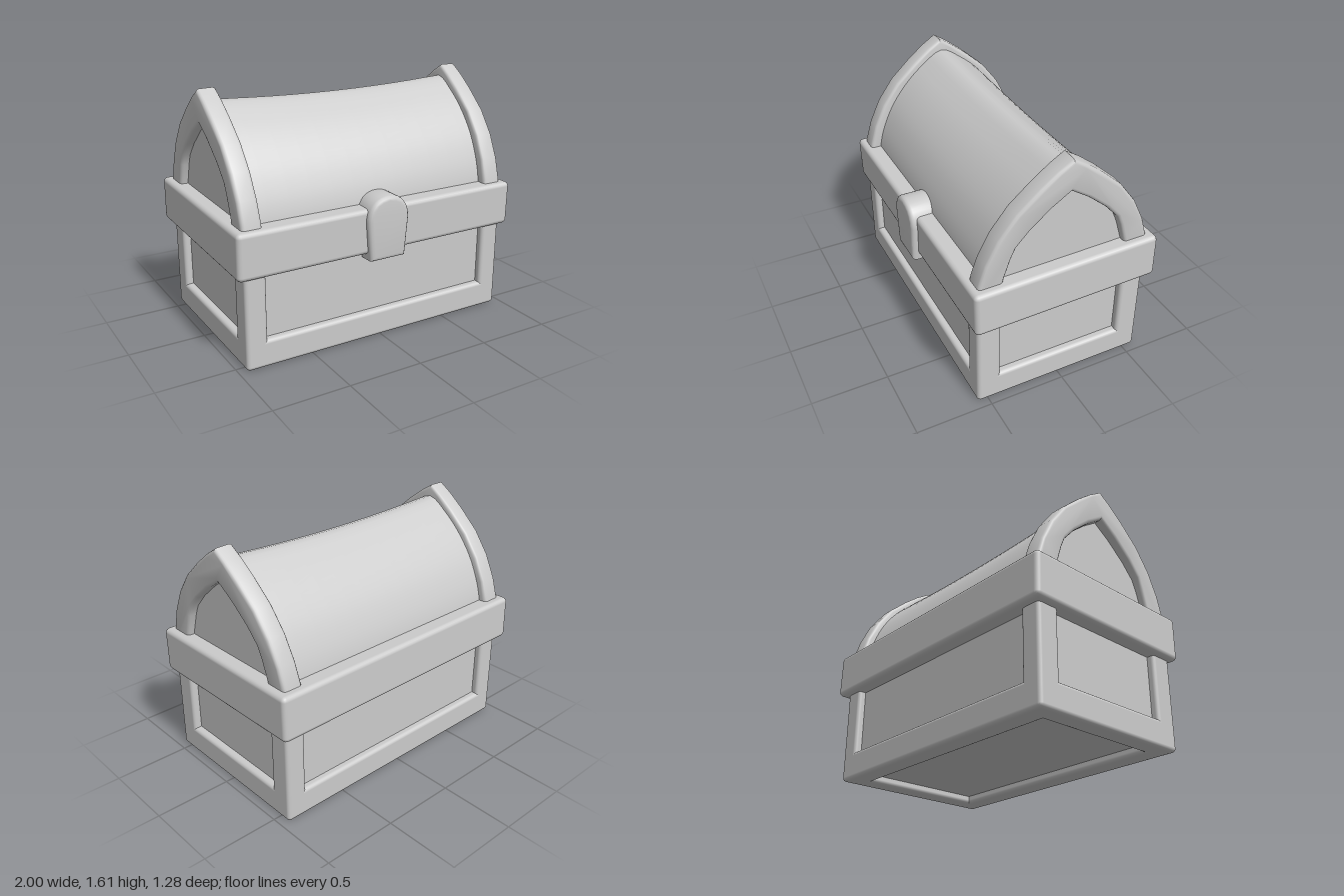
import * as THREE from 'three';
import { toCreasedNormals } from 'three/addons/utils/BufferGeometryUtils.js';
import { RoundedBoxGeometry } from 'three/addons/geometries/RoundedBoxGeometry.js';

const material = new THREE.MeshStandardMaterial({ color: 0xcccccc });

function add(parent, name, geometry, x = 0, y = 0, z = 0) {
  const mesh = new THREE.Mesh(geometry, material);
  mesh.name = name;
  mesh.position.set(x, y, z);
  parent.add(mesh);
  return mesh;
}

// Softly bevelled bar given by its minimum and maximum corners
function bar(parent, name, min, max, radius = 0.025) {
  const size = max.map((v, i) => v - min[i]);
  const mid = max.map((v, i) => (v + min[i]) / 2);
  return add(parent, name, new RoundedBoxGeometry(...size, 2, radius), ...mid);
}

// Half profile from the base up to the apex, mirrored to a full arch
const mirrored = (half) => [
  ...half.map(([x, y]) => new THREE.Vector2(x, y)),
  ...half.slice(0, -1).reverse().map(([x, y]) => new THREE.Vector2(-x, y)),
];

// Extrusion centred on its depth, with bevels kept inside the outline
function slab(shape, thickness, bevel, steps = 1) {
  const g = new THREE.ExtrudeGeometry(shape, {
    depth: thickness - 2 * bevel, steps, curveSegments: 10,
    bevelEnabled: bevel > 0, bevelSize: bevel, bevelThickness: bevel,
    bevelOffset: -bevel, bevelSegments: 3,
  });
  return g.translate(0, 0, -(thickness - 2 * bevel) / 2);
}

export function createModel() {
  const chest = new THREE.Group();
  chest.name = 'chest';

  // Lower body: recessed panels inside a frame of posts and rails
  const X = 0.95, front = 0.57, back = -0.585;
  add(chest, 'bodyPanels', new THREE.BoxGeometry(1.8, 0.65, 1.06), 0, 0.375, -0.007);
  for (const [side, s] of [['left', 1], ['right', -1]]) {
    const x0 = s > 0 ? X - 0.14 : -X, x1 = x0 + 0.14;
    bar(chest, side + 'FrontPost', [x0, 0, front - 0.155], [x1, 0.75, front]);
    bar(chest, side + 'BackPost', [x0, 0, back], [x1, 0.75, back + 0.155]);
    bar(chest, side + 'BottomRail', [x0, 0, back + 0.03], [x1, 0.18, front - 0.03]);
  }
  bar(chest, 'frontBottomRail', [-X + 0.03, 0, front - 0.155], [X - 0.03, 0.18, front]);
  bar(chest, 'backBottomRail', [-X + 0.03, 0, back], [X - 0.03, 0.18, back + 0.155]);

  // Wide band around the middle, a little higher at the back
  bar(chest, 'middleBand', [-1, 0.606, -0.638], [1, 0.902, 0.602], 0.03).rotation.x = 0.018;

  // Lid: rounded pointed vault that sags towards the middle
  const vault = new THREE.SplineCurve(mirrored([
    [0.52, 0.8], [0.505, 0.92], [0.465, 1.05], [0.39, 1.2], [0.28, 1.34], [0.15, 1.455], [0, 1.54],
  ])).getPoints(40);
  const lid = slab(new THREE.Shape(vault), 1.8, 0, 12);
  lid.rotateY(-Math.PI / 2);
  const p = lid.attributes.position;
  for (let i = 0; i < p.count; i++) {
    const sag = 1 - Math.min(1, (p.getX(i) / 0.85) ** 2);
    p.setY(i, p.getY(i) - 0.04 * sag * (p.getY(i) - 0.8));
  }
  add(chest, 'lid', toCreasedNormals(lid, 0.7), 0, 0, -0.018);

  // Pointed arches trimming both lid ends
  const outer = [
    [0.585, 0.8], [0.567, 0.92], [0.525, 1.05], [0.45, 1.2], [0.34, 1.345], [0.2, 1.47], [0.09, 1.555], [0, 1.612],
  ];
  const inner = [
    [0.43, 0.8], [0.405, 0.92], [0.365, 1.05], [0.335, 1.12], [0.25, 1.215], [0.12, 1.325], [0, 1.405],
  ];
  const archShape = new THREE.Shape([...mirrored(outer), ...mirrored(inner).reverse()]);
  for (const [name, x, lean] of [['leftArch', 0.88, -0.04], ['rightArch', -0.885, 0.02]]) {
    const g = slab(archShape, 0.13, 0.022).rotateY(-Math.PI / 2).translate(0, -0.85, 0);
    add(chest, name, toCreasedNormals(g, 0.6), x, 0.85, -0.012).rotation.z = lean;
  }

  // Clasp with a rounded top
  const clasp = new THREE.Shape();
  clasp.moveTo(-0.125, 0.555);
  clasp.lineTo(0.125, 0.555);
  clasp.lineTo(0.148, 0.81);
  clasp.bezierCurveTo(0.145, 0.9, 0.1, 0.965, 0, 0.967);
  clasp.bezierCurveTo(-0.1, 0.965, -0.145, 0.9, -0.148, 0.81);
  clasp.closePath();
  add(chest, 'clasp', toCreasedNormals(slab(clasp, 0.19, 0.028), 0.6), 0, 0, 0.547);

  return chest;
}
